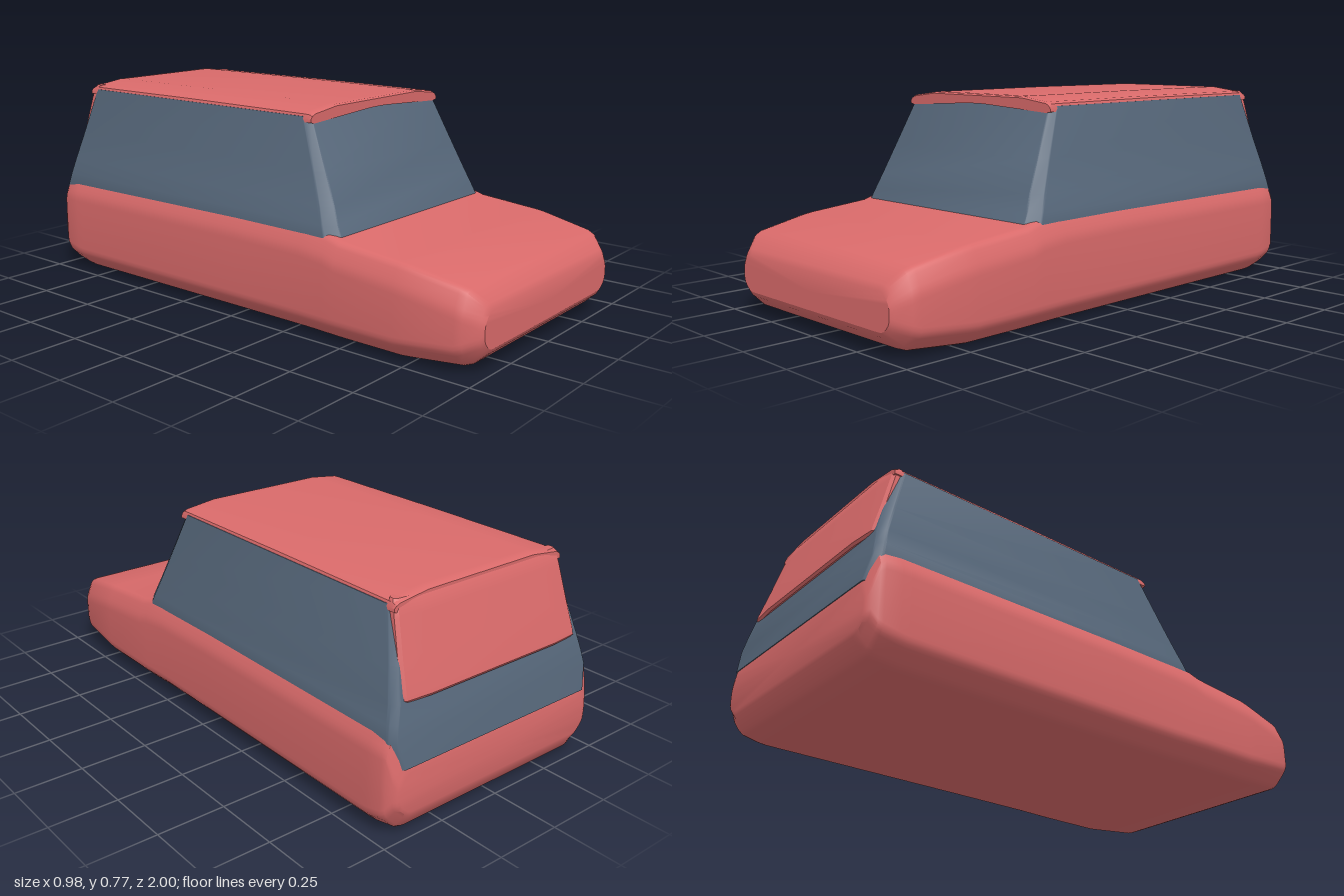
import * as THREE from 'three';
import { toCreasedNormals } from 'three/addons/utils/BufferGeometryUtils.js';

// Closed skin through rings with equal point counts, capped at both ends
function loft(rings, crease = 0.5) {
  const n = rings[0].length, pos = rings.flat(2), idx = [];
  for (let r = 0; r < rings.length - 1; r++) {
    for (let i = 0; i < n; i++) {
      const a = r * n + i, b = r * n + (i + 1) % n;
      idx.push(a, b, b + n, a, b + n, a + n);
    }
  }
  [0, rings.length - 1].forEach((r, end) => {
    const c = pos.length / 3;
    for (let k = 0; k < 3; k++) pos.push(rings[r].reduce((s, p) => s + p[k], 0) / n);
    for (let i = 0; i < n; i++) {
      const a = r * n + i, b = r * n + (i + 1) % n;
      idx.push(...(end ? [c, a, b] : [c, b, a]));
    }
  });
  // Turn the faces outward if the enclosed volume is negative
  const v = i => new THREE.Vector3().fromArray(pos, i * 3);
  let volume = 0;
  for (let i = 0; i < idx.length; i += 3) volume += v(idx[i]).dot(v(idx[i + 1]).cross(v(idx[i + 2])));
  if (volume < 0) idx.reverse();
  const g = new THREE.BufferGeometry();
  g.setAttribute('position', new THREE.Float32BufferAttribute(pos, 3));
  g.setIndex(idx);
  return toCreasedNormals(g, crease);
}

// Mirror a half outline (x > 0) into a closed one
const mirror = half => [...half, ...half.slice().reverse().map(([x, y]) => [-x, y])];

// Round every corner of a 2D outline with a short curve
function rounded(points, radius) {
  const out = [], n = points.length;
  points.forEach((p, i) => {
    const c = new THREE.Vector2(...p);
    const toward = q => {
      const d = new THREE.Vector2(...q).sub(c), len = d.length();
      return c.clone().addScaledVector(d, Math.min(radius, len * 0.4) / len);
    };
    const curve = new THREE.QuadraticBezierCurve(toward(points[(i + n - 1) % n]), c, toward(points[(i + 1) % n]));
    curve.getPoints(3).forEach(q => out.push([q.x, q.y]));
  });
  return out;
}

export function createModel() {
  const red = new THREE.MeshStandardMaterial({ name: 'red paint', color: 0xd96a6a });
  const dark = new THREE.MeshStandardMaterial({ name: 'dark glass', color: 0x56677a });
  const group = new THREE.Group();
  group.name = 'car';
  const add = (name, geometry, material) => {
    const mesh = new THREE.Mesh(geometry, material);
    mesh.name = name;
    group.add(mesh);
  };

  // Lower body: sections [z, half width, bottom, top] from nose to tail
  const sections = [
    [1, 0.42, 0.085, 0.215], [0.99, 0.432, 0.068, 0.235], [0.945, 0.465, 0.027, 0.278],
    [0.92, 0.473, 0.018, 0.288], [0.74, 0.488, 0.003, 0.322], [0.7, 0.49, 0, 0.328],
    [0.46, 0.489, 0, 0.35], [0.41, 0.487, 0, 0.365], [0.3, 0.482, 0, 0.375],
    [0, 0.48, 0, 0.381], [-0.86, 0.479, 0, 0.381], [-0.89, 0.479, 0.003, 0.381],
    [-0.95, 0.477, 0.015, 0.381], [-0.966, 0.472, 0.025, 0.37], [-0.985, 0.46, 0.055, 0.305],
    [-0.996, 0.448, 0.075, 0.255], [-1, 0.438, 0.09, 0.235],
  ];
  add('body', loft(sections.map(([z, w, lo, hi]) => {
    const k = Math.min(1, (hi - lo) / 0.25);
    const half = [[w - 0.065 * k, lo], [w, lo + 0.065 * k], [w, hi - 0.075 * k], [w - 0.032, hi]];
    return rounded(mirror(half), 0.022).map(([x, y]) => [x, y, z]);
  })), red);

  // Glasshouse: levels [y, half width, front z, rear z], corners cut off
  const levels = [
    [0.25, 0.445, 0.43, -1.0], [0.34, 0.462, 0.452, -0.983], [0.39, 0.452, 0.428, -0.972],
    [0.45, 0.437, 0.4, -0.958], [0.56, 0.413, 0.348, -0.925], [0.735, 0.378, 0.264, -0.873],
  ];
  add('windows', loft(levels.map(([y, w, front, rear]) => {
    const cut = 0.018 + 0.045 * (0.735 - y);
    const half = [[w - cut, front], [w, front - cut * 1.4], [w, rear + 0.025], [w - 0.022, rear]];
    return rounded(mirror(half), 0.006).map(([x, z]) => [x, y, z]);
  })), dark);

  // Roof: shallow arch with turned-down edges
  const roofHalf = [[0.24, 0.73], [0.36, 0.712], [0.38, 0.716], [0.379, 0.728], [0.372, 0.743], [0.358, 0.75], [0.24, 0.765]];
  add('roof', loft([
    [0.276, -0.006, 0.735], [0.266, -0.001, 0.73], [0.24, 0, 0.73], [-0.3, 0.002, 0.73], [-0.85, 0, 0.73], [-0.872, -0.002, 0.73], [-0.884, -0.008, 0.735],
  ].map(([z, dy, floor]) => mirror(roofHalf).map(([x, y]) => [x, y + (y > floor ? dy : 0), z]))), red);

  // Tailgate: sloping panel, slightly bowed backward in the middle
  const gate = [
    [0.752, 0.365, -0.88], [0.742, 0.372, -0.887], [0.7, 0.378, -0.9],
    [0.58, 0.39, -0.934], [0.475, 0.4, -0.966], [0.458, 0.4, -0.97], [0.448, 0.394, -0.964],
  ];
  add('tailgate', loft(gate.map(([y, w, z]) => mirror([
    [w - 0.03, z + 0.05], [w, z + 0.035], [w, z + 0.018], [w - 0.012, z + 0.008], [w * 0.72, z],
  ]).map(([x, depth]) => [x, y, depth]))), red);

  return group;
}
